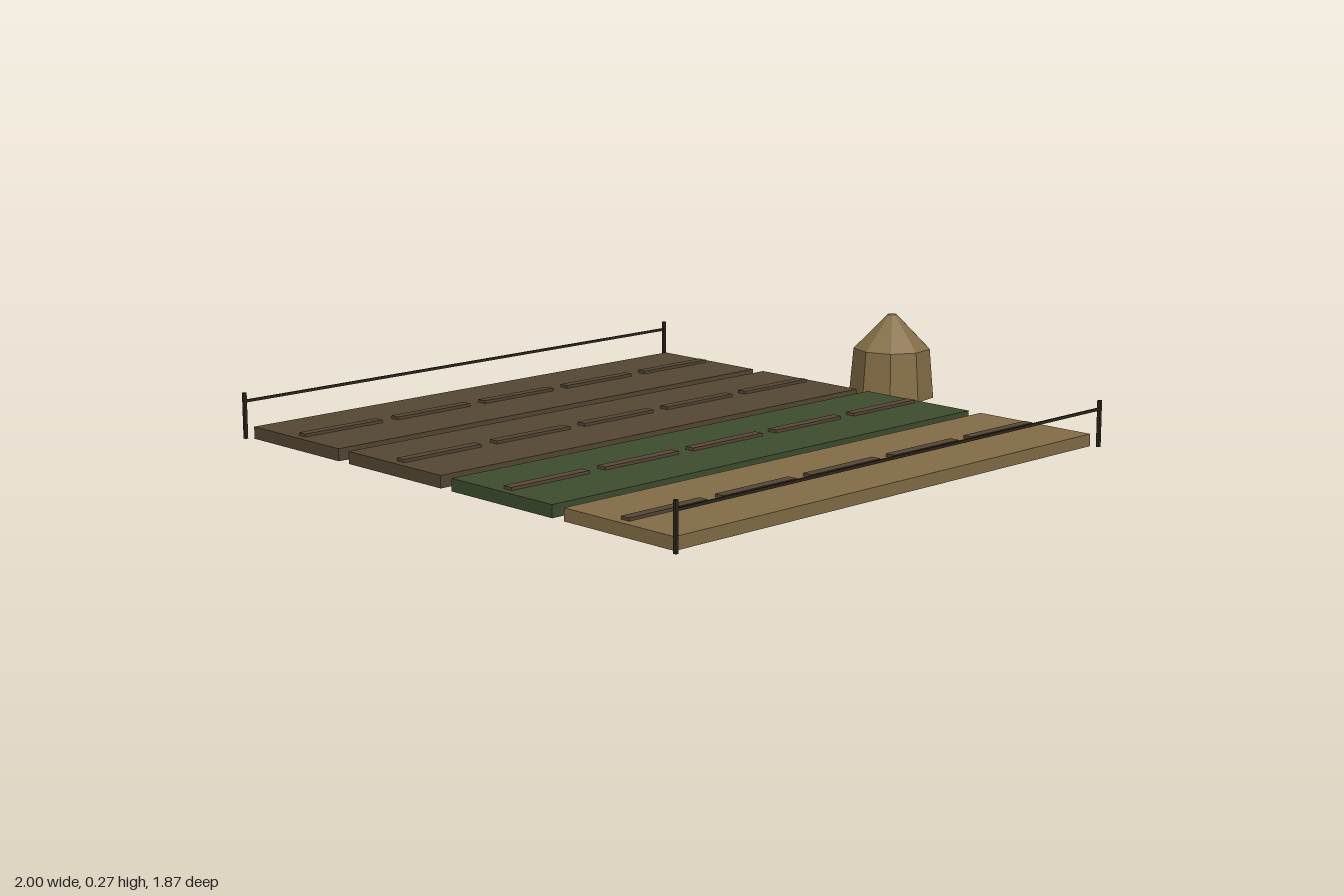
import * as THREE from 'three';

const paint = (name, color, flatShading = false) => {
  const m = new THREE.MeshStandardMaterial({ color, flatShading });
  m.name = name;
  return m;
};

export function createModel() {
  const model = new THREE.Group();
  model.name = 'farmField';

  const soil = paint('soil brown', 0x564835);
  const crop = paint('crop green', 0x3e4e2f);
  const straw = paint('straw tan', 0x846e47, true);
  const stalk = paint('reddish brown', 0x5b4838);
  const wood = paint('dark wood', 0x2e281c);

  const add = (parent, name, geometry, material, x, y, z) => {
    const mesh = new THREE.Mesh(geometry, material);
    mesh.name = name;
    mesh.position.set(x, y, z);
    parent.add(mesh);
    return mesh;
  };

  // Four field strips, each with a broken row of raised ridges
  const bedGeometry = new THREE.BoxGeometry(1.705, 0.037, 0.418);
  const ridgeGeometry = new THREE.BoxGeometry(0.284, 0.012, 0.032);
  const strips = [
    [-0.698, soil, soil],
    [-0.233, soil, soil],
    [0.232, crop, stalk],
    [0.697, straw, soil],
  ];
  strips.forEach(([z, bedPaint, ridgePaint], i) => {
    const strip = new THREE.Group();
    strip.name = `fieldStrip${i + 1}`;
    add(strip, 'bed', bedGeometry, bedPaint, -0.125, 0.0185, 0);
    for (let k = -2; k <= 2; k++) {
      add(strip, 'ridge', ridgeGeometry, ridgePaint, -0.127 + k * 0.342, 0.04, 0);
    }
    strip.position.z = z;
    model.add(strip);
  });

  // A rail fence along the front and the back
  const postGeometry = new THREE.BoxGeometry(0.01, 0.14, 0.01);
  const railGeometry = new THREE.BoxGeometry(1.73, 0.008, 0.007);
  for (const side of [-1, 1]) {
    const fence = new THREE.Group();
    fence.name = side > 0 ? 'frontFence' : 'backFence';
    for (const x of [-0.994, 0.739]) add(fence, 'post', postGeometry, wood, x, 0.07, 0);
    add(fence, 'rail', railGeometry, wood, -0.1275, 0.114, 0);
    fence.position.z = side * 0.928;
    model.add(fence);
  }

  // Nine-sided straw stack with a tapered body and a blunt conical cap
  const stack = new THREE.Group();
  stack.name = 'strawStack';
  const facets = (top, bottom, height) =>
    new THREE.CylinderGeometry(top, bottom, height, 9, 1, false, -Math.PI / 2);
  add(stack, 'stackBody', facets(0.124, 0.138, 0.158), straw, 0, 0.079, 0);
  add(stack, 'stackCap', facets(0.015, 0.124, 0.108), straw, 0, 0.212, 0);
  stack.position.x = 0.867;
  model.add(stack);

  return model;
}
